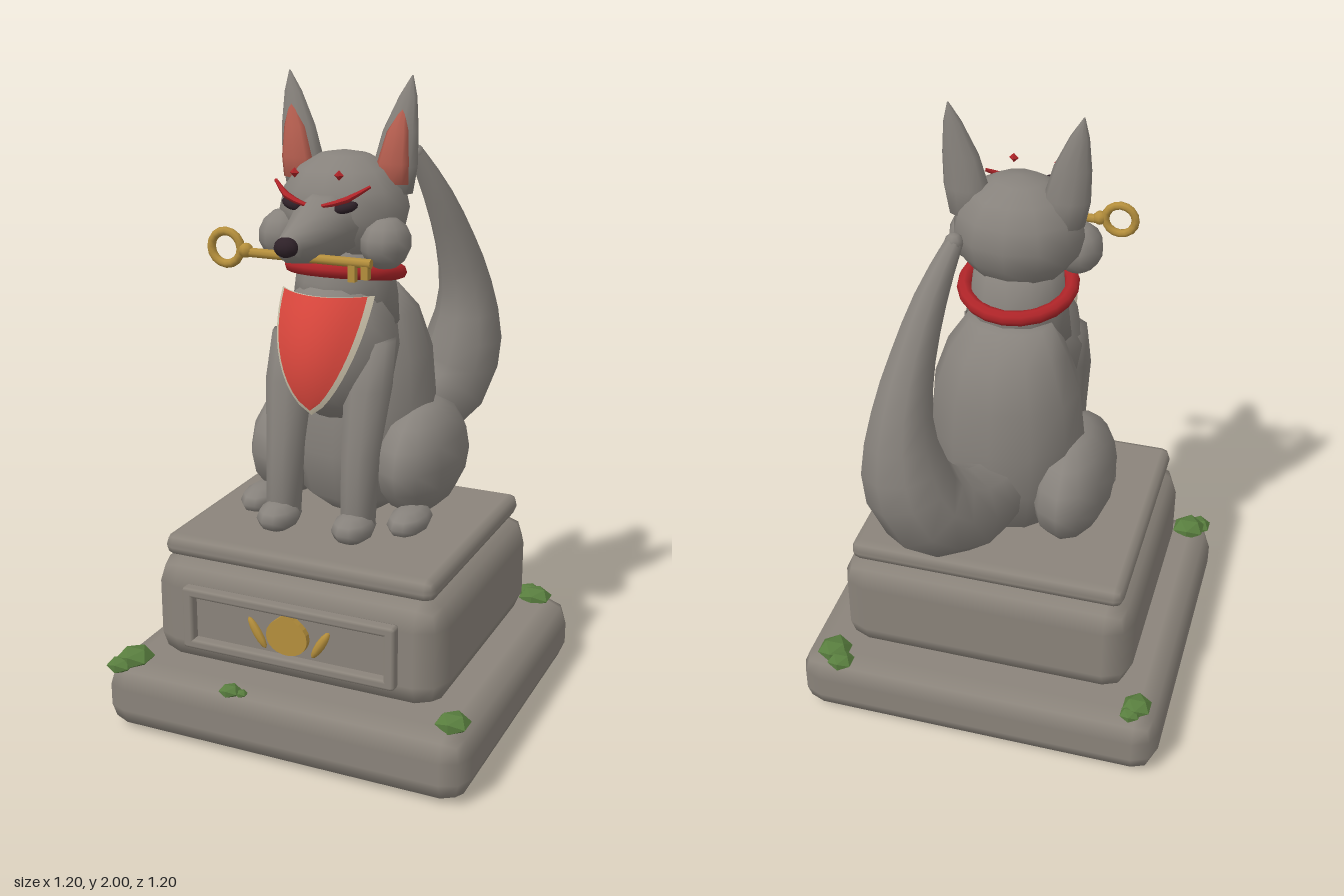
import * as THREE from 'three';
import { RoundedBoxGeometry } from 'three/addons/geometries/RoundedBoxGeometry.js';

function mat(name, color, opts = {}) {
  const m = new THREE.MeshStandardMaterial({ color, ...opts });
  m.name = name;
  return m;
}

// Closed skin over elliptical rings [cx, y, cz, rx, rz], listed bottom to top
function loft(rings, sides = 10) {
  const first = rings[0], last = rings[rings.length - 1];
  const all = [[first[0], first[1], first[2], 0, 0], ...rings, [last[0], last[1], last[2], 0, 0]];
  const pos = [], idx = [];
  all.forEach(([cx, y, cz, rx, rz], i) => {
    for (let j = 0; j < sides; j++) {
      const a = (j / sides) * Math.PI * 2;
      pos.push(cx + rx * Math.cos(a), y, cz + rz * Math.sin(a));
      if (i === all.length - 1) continue;
      const p = i * sides + j, q = i * sides + (j + 1) % sides;
      idx.push(p, p + sides, q, q, p + sides, q + sides);
    }
  });
  const g = new THREE.BufferGeometry();
  g.setAttribute('position', new THREE.Float32BufferAttribute(pos, 3));
  g.setIndex(idx);
  g.computeVertexNormals();
  return g;
}

// Shield-shaped cloth curved around the chest
function bibGeometry(scale, lift) {
  const g = new THREE.PlaneGeometry(2, 1, 8, 12);
  const p = g.attributes.position;
  for (let i = 0; i < p.count; i++) {
    const t = p.getY(i) + 0.5;
    const x = p.getX(i) * 0.15 * scale * Math.pow(1 - (1 - t) ** 2, 0.75);
    const v = 1 - (1 - t) * (scale * 0.5 + 0.5);
    p.setXYZ(i, x, 1.03 + 0.35 * v, 0.31 + 0.145 * v - 0.19 * v * v - 3.4 * x * x + lift);
  }
  g.computeVertexNormals();
  return g;
}

// Tube whose radius follows a list along its path
function taperedTube(points, radii, sides) {
  const curve = new THREE.CatmullRomCurve3(points.map(p => new THREE.Vector3(...p)));
  const n = (points.length - 1) * 2;
  const g = new THREE.TubeGeometry(curve, n, 1, sides);
  const p = g.attributes.position, v = new THREE.Vector3();
  for (let i = 0; i <= n; i++) {
    const u = i / n, c = curve.getPointAt(u);
    const f = curve.getUtoTmapping(u) * (radii.length - 1), k = Math.min(Math.floor(f), radii.length - 2);
    const r = THREE.MathUtils.lerp(radii[k], radii[k + 1], f - k);
    for (let j = 0; j <= sides; j++) {
      const q = i * (sides + 1) + j;
      v.fromBufferAttribute(p, q).sub(c).multiplyScalar(r).add(c);
      p.setXYZ(q, v.x, v.y, v.z);
    }
  }
  g.computeVertexNormals();
  return g;
}

export function createModel() {
  const model = new THREE.Group();
  model.name = 'guardianStatue';
  const plinthStone = mat('plinth stone', 0x8b847b);
  const stone = mat('statue stone', 0x87827c);
  const red = mat('collar red', 0xae2428);
  const cloth = mat('bib red', 0xd8463c, { side: THREE.DoubleSide });
  const cream = mat('bib trim cream', 0xc6bda6, { side: THREE.DoubleSide });
  const pink = mat('inner ear pink', 0xb75f50);
  const dark = mat('nose dark', 0x2e2128);
  const gold = mat('gold', 0xb58f3c);
  const moss = mat('moss green', 0x587d3e, { flatShading: true });

  const add = (name, geo, material, x = 0, y = 0, z = 0) => {
    const m = new THREE.Mesh(geo, material);
    m.name = name;
    m.position.set(x, y, z);
    model.add(m);
    return m;
  };
  const ball = (name, material, c, r, w = 12, h = 8) => {
    const m = add(name, new THREE.SphereGeometry(1, w, h), material, ...c);
    m.scale.set(...r);
    return m;
  };
  const block = (name, w, h, d, r, x, y, z) => add(name, new RoundedBoxGeometry(w, h, d, 1, r), plinthStone, x, y, z);

  // Plinth
  block('plinthBase', 1.2, 0.22, 1.085, 0.075, 0, 0.11, 0.052);
  block('plinthBody', 0.96, 0.345, 0.85, 0.085, 0, 0.385, 0.052);
  block('plinthTop', 0.89, 0.07, 0.785, 0.03, 0, 0.59, 0.055);

  // Framed panel with gold flame emblem
  for (const s of [-1, 1]) {
    block('panelRail', 0.7, 0.032, 0.04, 0.01, 0, 0.39 + s * 0.085, 0.488);
    block('panelStile', 0.036, 0.2, 0.04, 0.01, s * 0.333, 0.39, 0.488);
  }
  const flame = new THREE.Shape();
  flame.moveTo(0, 0.475);
  flame.bezierCurveTo(0.015, 0.44, 0.07, 0.435, 0.068, 0.385);
  flame.bezierCurveTo(0.065, 0.35, 0.035, 0.33, 0, 0.33);
  flame.bezierCurveTo(-0.035, 0.33, -0.065, 0.35, -0.068, 0.385);
  flame.bezierCurveTo(-0.07, 0.435, -0.015, 0.44, 0, 0.475);
  const plate = { depth: 0.02, bevelEnabled: false, curveSegments: 6 };
  add('emblemFlame', new THREE.ExtrudeGeometry(flame, plate), gold, 0, 0, 0.478);
  for (const s of [-1, 1]) {
    const petal = ball('emblemPetal', gold, [s * 0.105, 0.378, 0.482], [0.015, 0.055, 0.012], 8, 6);
    petal.rotation.z = -s * 0.55;
  }

  // Moss clumps [x, y, z, radius]
  for (const [x, y, z, r] of [
    [-0.52, 0.225, -0.395, 0.05], [-0.505, 0.22, -0.43, 0.035], [0.49, 0.225, -0.415, 0.058],
    [0.455, 0.22, -0.455, 0.045], [-0.52, 0.225, 0.515, 0.06], [-0.55, 0.21, 0.555, 0.045],
    [0.53, 0.225, 0.49, 0.055], [-0.155, 0.215, 0.57, 0.035], [-0.12, 0.21, 0.565, 0.02],
  ]) add('moss', new THREE.IcosahedronGeometry(r, 0), moss, x, y, z).scale.y = 0.55;

  // Torso, chest and neck
  add('torso', loft([
    [0, 0.64, -0.03, 0.1, 0.1], [0, 0.7, -0.04, 0.19, 0.18], [0, 0.85, -0.05, 0.235, 0.22],
    [0, 1.0, -0.055, 0.245, 0.21], [0, 1.15, -0.06, 0.23, 0.195], [0, 1.28, -0.06, 0.185, 0.15],
    [0, 1.36, -0.03, 0.13, 0.1],
  ], 12), stone);
  ball('chest', stone, [0, 1.2, 0.12], [0.19, 0.23, 0.19]);
  add('neck', loft([[0, 1.27, 0.06, 0.17, 0.17], [0, 1.4, 0.065, 0.15, 0.155], [0, 1.52, 0.07, 0.13, 0.13]], 12), stone);
  const collar = add('collar', new THREE.TorusGeometry(0.163, 0.023, 8, 20), red, 0, 1.425, 0.065);
  collar.rotation.x = Math.PI / 2 - 0.17;
  add('bibTrim', bibGeometry(1, 0), cream);
  add('bib', bibGeometry(0.9, 0.006), cloth);

  // Legs and paws
  for (const s of [-1, 1]) {
    add('frontLeg', loft([
      [s * 0.125, 0.68, 0.255, 0.055, 0.053], [s * 0.125, 0.9, 0.235, 0.06, 0.058],
      [s * 0.13, 1.1, 0.19, 0.075, 0.072], [s * 0.13, 1.24, 0.15, 0.07, 0.07],
    ]), stone);
    ball('frontPaw', stone, [s * 0.125, 0.685, 0.285], [0.064, 0.047, 0.09], 10, 6);
    ball('thigh', stone, [s * 0.215, 0.825, -0.045], [0.128, 0.18, 0.245]);
    ball('hindPaw', stone, [s * 0.25, 0.678, 0.145], [0.062, 0.043, 0.11], 10, 6);
  }

  // Tail
  const tailPath = [[0, 0.84, -0.18], [0.07, 0.865, -0.36], [0.15, 0.95, -0.455], [0.19, 1.09, -0.475],
    [0.195, 1.25, -0.468], [0.175, 1.42, -0.415], [0.135, 1.6, -0.335], [0.09, 1.73, -0.27]];
  add('tail', taperedTube(tailPath, [0.11, 0.14, 0.145, 0.13, 0.092, 0.067, 0.046, 0.026], 9), stone);
  ball('tailTip', stone, tailPath[7], [0.027, 0.027, 0.027], 8, 6);

  // Head and muzzle
  ball('head', stone, [0, 1.61, 0.07], [0.2, 0.172, 0.175]);
  add('muzzle', loft([
    [0, 0.14, -1.59, 0.125, 0.11], [0, 0.25, -1.575, 0.095, 0.095], [0, 0.35, -1.56, 0.068, 0.066],
    [0, 0.44, -1.555, 0.042, 0.042], [0, 0.47, -1.557, 0.025, 0.025],
  ]).rotateX(Math.PI / 2), stone);
  ball('nose', dark, [0, 1.563, 0.462], [0.037, 0.029, 0.028], 10, 8);

  for (const s of [-1, 1]) {
    ball('cheek', stone, [s * 0.165, 1.53, 0.145], [0.075, 0.078, 0.088], 10, 7);
    const eye = ball('eye', dark, [s * 0.085, 1.645, 0.25], [0.036, 0.017, 0.025], 10, 6);
    eye.rotation.set(0, s * 0.35, s * 0.25);
    const brow = [[s * 0.025, 1.65, 0.283], [s * 0.09, 1.668, 0.268], [s * 0.15, 1.705, 0.225]];
    add('brow', taperedTube(brow, [0.006, 0.011, 0.005], 6), red);
    add('foreheadMark', new THREE.OctahedronGeometry(0.015), red, s * 0.07, 1.737, 0.263);
    add('ear', loft([
      [s * 0.145, 1.66, 0.04, 0.06, 0.045], [s * 0.15, 1.74, 0.042, 0.07, 0.045],
      [s * 0.165, 1.84, 0.04, 0.056, 0.035], [s * 0.185, 1.94, 0.033, 0.028, 0.02], [s * 0.197, 2.0, 0.03, 0.002, 0.002],
    ]), stone);
    add('innerEar', loft([
      [s * 0.152, 1.69, 0.068, 0.05, 0.022], [s * 0.155, 1.75, 0.074, 0.05, 0.024],
      [s * 0.166, 1.84, 0.066, 0.034, 0.02], [s * 0.184, 1.93, 0.047, 0.002, 0.002],
    ], 8), pink);
  }

  // Key held in the mouth
  add('keyRing', new THREE.TorusGeometry(0.048, 0.013, 8, 16), gold, -0.245, 1.523, 0.36);
  ball('keyKnob', gold, [-0.18, 1.52, 0.36], [0.022, 0.022, 0.022], 8, 6);
  add('keyShaft', new THREE.CylinderGeometry(0.014, 0.014, 0.4, 8).rotateZ(Math.PI / 2), gold, 0.012, 1.515, 0.36);
  for (const [x, h] of [[0.155, 0.055], [0.195, 0.045]])
    add('keyTooth', new THREE.BoxGeometry(0.022, h, 0.022), gold, x, 1.515 - h / 2, 0.36);

  return model;
}
